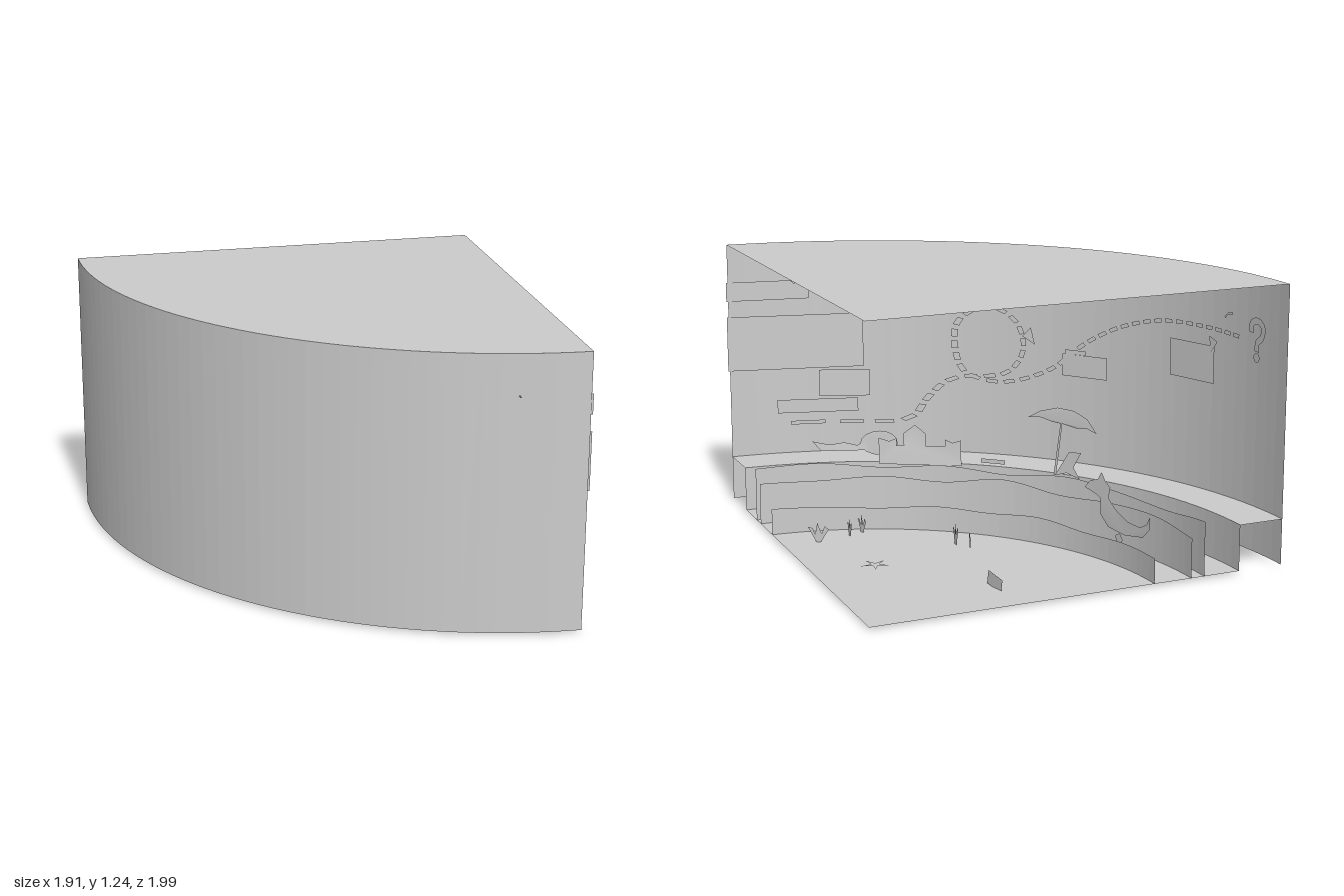
import * as THREE from 'three';

const grey = new THREE.MeshStandardMaterial({ color: 0xcccccc, side: THREE.DoubleSide });
grey.name = 'light grey';

// Plan: a quarter disc whose rings are scaled about the apex
const APEX = [0.95, -1.0], CX = 0.98, CZ = -0.945, R = 1.94;
const FLOOR = 0.02, ROOF = 1.25, SHELF = 0.225, SEG = 40;

function arc(t, s = 1) { // t = 0 at the front end, 1 at the far end
  const a = Math.PI / 2 + 0.033 + t * (Math.PI / 2 - 0.033);
  const x = CX + R * Math.cos(a), z = CZ + R * Math.sin(a);
  return [APEX[0] + s * (x - APEX[0]), APEX[1] + s * (z - APEX[1])];
}

function xOnArc(z, s) { // x of ring s at depth z
  const z0 = APEX[1] + (z - APEX[1]) / s;
  const x0 = CX - Math.sqrt(Math.max(0.003, R * R - (z0 - CZ) ** 2));
  return APEX[0] + s * (x0 - APEX[0]);
}

// Strip between two curves given as functions of t
function strip(low, high, n = SEG) {
  const pos = [], idx = [];
  for (let i = 0; i <= n; i++) {
    pos.push(...low(i / n), ...high(i / n));
    if (i < n) idx.push(2 * i, 2 * i + 2, 2 * i + 1, 2 * i + 1, 2 * i + 2, 2 * i + 3);
  }
  const g = new THREE.BufferGeometry();
  g.setAttribute('position', new THREE.Float32BufferAttribute(pos, 3));
  g.setIndex(idx);
  const flat = g.toNonIndexed();
  flat.computeVertexNormals();
  return flat;
}
const ring = (s, y) => t => { const p = arc(t, s); return [p[0], typeof y === 'function' ? y(t) : y, p[1]]; };

const shapeOf = pts => new THREE.Shape(pts.map(p => new THREE.Vector2(p[0], p[1])));
const rect = (z1, z2, y1, y2) => [[z1, y1], [z2, y1], [z2, y2], [z1, y2]];
const ellipse = (z, y, rz, ry, n = 16) => Array.from({ length: n }, (_, i) => {
  const a = i / n * Math.PI * 2;
  return [z + rz * Math.cos(a), y + ry * Math.sin(a)];
});

// Band of a given width along a polyline
function band(pts, w, n = 24) {
  const c = new THREE.CatmullRomCurve3(pts.map(p => new THREE.Vector3(p[0], p[1], 0)));
  const a = [], b = [];
  for (let i = 0; i <= n; i++) {
    const p = c.getPointAt(i / n), d = c.getTangentAt(i / n);
    a.push([p.x - d.y * w / 2, p.y + d.x * w / 2]);
    b.unshift([p.x + d.y * w / 2, p.y - d.x * w / 2]);
  }
  return a.concat(b);
}

export function createModel() {
  const model = new THREE.Group();
  const add = (name, geo) => {
    const m = new THREE.Mesh(geo, grey);
    m.name = name;
    model.add(m);
    return m;
  };
  // Flat cutout bent on to ring s; points are [z, y]
  const cutout = (name, s, pts) => {
    const g = new THREE.ShapeGeometry(shapeOf(pts)), p = g.attributes.position;
    for (let i = 0; i < p.count; i++) {
      const z = p.getX(i), y = p.getY(i);
      p.setXYZ(i, xOnArc(z, s), y, z);
    }
    g.computeVertexNormals();
    return add(name, g);
  };
  // Flat cutout standing on the floor, facing the apex side
  const stand = (name, pts, x, y, z, turn = 0) => {
    const m = add(name, new THREE.ShapeGeometry(shapeOf(pts)));
    m.position.set(x, y, z);
    m.rotation.y = Math.PI / 2 + turn;
    return m;
  };

  // Shell: wall, roof, floor, raised ledge
  const centre = y => () => [APEX[0], y, APEX[1]];
  add('backWall', strip(ring(1, FLOOR), ring(1, ROOF)));
  add('roof', strip(centre(ROOF), ring(1, ROOF)));
  add('floor', strip(centre(FLOOR), ring(0.89, FLOOR)));
  add('ledgeRiser', strip(ring(0.89, FLOOR), ring(0.89, SHELF)));
  add('ledge', strip(ring(0.89, SHELF), ring(1, SHELF)));

  // Wavy scenery panels, back to front
  [[0.80, [0.265, 0.27, 0.245, 0.26, 0.24, 0.27, 0.25, 0.235, 0.26]],
    [0.767, [0.21, 0.205, 0.22, 0.2, 0.235, 0.2, 0.215, 0.22, 0.195]],
    [0.674, [0.14, 0.13, 0.12, 0.135, 0.125, 0.14, 0.12, 0.13, 0.13]]].forEach(([s, h], k) => {
    const top = new THREE.SplineCurve(h.map((y, i) => new THREE.Vector2(i, y)));
    add('wavePanel' + (k + 1), strip(ring(s, FLOOR), ring(s, t => top.getPoint(t).y)));
  });

  // Dashed trail with a loop on the wall
  const W = 0.993;
  const trail = new THREE.CatmullRomCurve3([[0.95, 0.375], [0.77, 0.385], [0.72, 0.5], [0.66, 0.59],
    [0.5, 0.63], [0.44, 0.75], [0.47, 0.89], [0.56, 0.95], [0.64, 0.88], [0.65, 0.72], [0.62, 0.62],
    [0.52, 0.585], [0.35, 0.66], [0.2, 0.81], [0.05, 0.905], [-0.15, 0.965], [-0.4, 0.975], [-0.63, 0.965]]
    .map(p => new THREE.Vector3(p[0], p[1], 0)));
  const dashes = 48;
  for (let i = 0; i < dashes; i++) {
    const a = trail.getPointAt(i / dashes), b = trail.getPointAt((i + 0.65) / dashes);
    cutout('trailDash', W, band([[a.x, a.y], [b.x, b.y]], 0.018, 1));
  }

  // Question mark, signs and cards on the wall
  cutout('questionHook', W, band([[-0.69, 1.0], [-0.695, 1.04], [-0.735, 1.055], [-0.775, 1.03],
    [-0.765, 0.985], [-0.735, 0.96], [-0.732, 0.92]], 0.03));
  cutout('questionDot', W, ellipse(-0.732, 0.893, 0.021, 0.021));
  [[0.99, 0.855, 0.645, 0.905], [0.295, 0.105, 0.645, 0.75], [0.285, 0.2, 0.75, 0.77],
    [-0.205, -0.455, 0.725, 0.895], [0.68, 0.57, 0.95, 1.05], [0.67, 0.58, 1.05, 1.07],
    [0.795, 0.695, 0.96, 1.04], [0.92, 0.845, 0.5, 0.63], [0.96, 0.865, 0.425, 0.49],
    [0.99, 0.93, 0.98, 1.07]].forEach(r => cutout('wallCard', W, rect(...r)));
  [[0.66, 0.59, 0.975, 1.03], [0.28, 0.12, 0.68, 0.715], [0.91, 0.855, 0.55, 0.61]]
    .forEach(r => cutout('cardInset', W - 0.003, rect(...r)));
  cutout('arrowFlag', W - 0.003, [[-0.43, 0.94], [-0.48, 0.92], [-0.44, 0.865]]);
  cutout('kite', 0.97, [[0.4, 0.825], [0.37, 0.87], [0.355, 0.79]]);
  cutout('cloud', W, band([[0.4, 1.08], [0.37, 1.11], [0.34, 1.1], [0.305, 1.085]], 0.025, 10));
  cutout('bird', W, band([[-0.515, 1.035], [-0.535, 1.055], [-0.565, 1.06]], 0.008, 6));

  // Small glider whose nose passes through the wall
  const glider = add('glider', new THREE.ConeGeometry(0.012, 0.09, 4));
  glider.position.set(0.62, 1.07, 0.945);
  glider.rotation.x = Math.PI / 2;

  // Hanging lanterns
  cutout('lanternBar', 0.81, rect(0.195, 0.045, 1.222, 1.228));
  [[0.175, 1.155], [0.12, 1.125], [0.065, 1.15]].forEach(([z, y]) => {
    cutout('lantern', 0.81, ellipse(z, y, 0.03, 0.032, 7));
    cutout('lanternCord', 0.81, rect(z + 0.002, z - 0.002, y + 0.03, 1.225));
  });

  // Beach scene on the panels
  cutout('parasolCanopy', 0.85, [[0.145, 0.5], [0.1, 0.535], [0.03, 0.56], [-0.04, 0.555], [-0.1, 0.525],
    [-0.145, 0.465], [-0.1, 0.48], [-0.05, 0.475], [0, 0.485], [0.05, 0.49], [0.1, 0.505]]);
  cutout('parasolPole', 0.85, [[0.045, 0.24], [0.035, 0.24], [0.01, 0.49], [0.018, 0.49]]);
  cutout('deckChair', 0.83, [[0, 0.25], [-0.06, 0.37], [-0.115, 0.375], [-0.08, 0.3], [-0.11, 0.25], [-0.05, 0.27]]);
  cutout('sandCastle', 0.84, [[0.545, 0.24], [0.545, 0.365], [0.525, 0.35], [0.51, 0.365], [0.51, 0.33],
    [0.495, 0.33], [0.495, 0.39], [0.47, 0.43], [0.445, 0.39], [0.445, 0.33], [0.395, 0.33], [0.395, 0.365],
    [0.375, 0.35], [0.35, 0.365], [0.35, 0.24]]);
  cutout('surfboard', 0.93, ellipse(0.71, 0.295, 0.035, 0.06));
  cutout('crab', 0.93, [[0.81, 0.31], [0.79, 0.29], [0.77, 0.3], [0.75, 0.285], [0.73, 0.315], [0.73, 0.26], [0.8, 0.26]]);
  cutout('bucket', 0.84, rect(0.29, 0.21, 0.265, 0.285));
  cutout('seaCreature', 0.72, [[-0.37, 0.295], [-0.4, 0.33], [-0.44, 0.345], [-0.46, 0.38], [-0.48, 0.345],
    [-0.51, 0.32], [-0.5, 0.27], [-0.54, 0.23], [-0.62, 0.19], [-0.7, 0.185], [-0.745, 0.21], [-0.77, 0.25],
    [-0.765, 0.19], [-0.72, 0.145], [-0.6, 0.125], [-0.5, 0.14], [-0.455, 0.19], [-0.455, 0.26], [-0.43, 0.275]]);

  // Plants on the floor
  const plant = (h, w) => [[-0.01, 0], [-w, h * 0.75], [-w * 0.55, h * 0.7], [-w * 0.3, h * 0.4], [-0.005, h],
    [w * 0.3, h * 0.45], [w * 0.6, h * 0.85], [w, h * 0.7], [0.01, 0]];
  [[0.77, 0.155, 0.09, 0.05, 0.9], [0.61, 0.19, 0.08, 0.03, 0], [0.54, 0.22, 0.08, 0.03, 0.3],
    [0.22, -0.12, 0.1, 0.03, 0], [0.18, -0.19, 0.08, 0.045, -0.3], [-0.02, -0.02, 0.09, 0.04, -0.5]]
    .forEach(([x, z, h, w, turn]) => stand('coral', plant(h, w), x, FLOOR, z, turn));
  cutout('tallPlant', 0.7, [[-0.61, 0.02], [-0.6, 0.09], [-0.595, 0.13], [-0.62, 0.145], [-0.64, 0.12], [-0.625, 0.08], [-0.62, 0.02]]);

  // Starfish lying flat and a tilted card sunk in the floor
  const star = Array.from({ length: 10 }, (_, i) => {
    const a = i * Math.PI / 5, r = i % 2 ? 0.018 : 0.07;
    return [r * Math.cos(a), r * Math.sin(a)];
  });
  const fish = add('starfish', new THREE.ShapeGeometry(shapeOf(star)));
  fish.rotation.x = -Math.PI / 2;
  fish.position.set(0.66, FLOOR + 0.01, -0.28);
  const card = stand('floorCard', rect(-0.052, 0.052, -0.03, 0.03), 0.3, 0.047, -0.745, 0.2);
  card.rotation.z = -0.18;

  return model;
}
